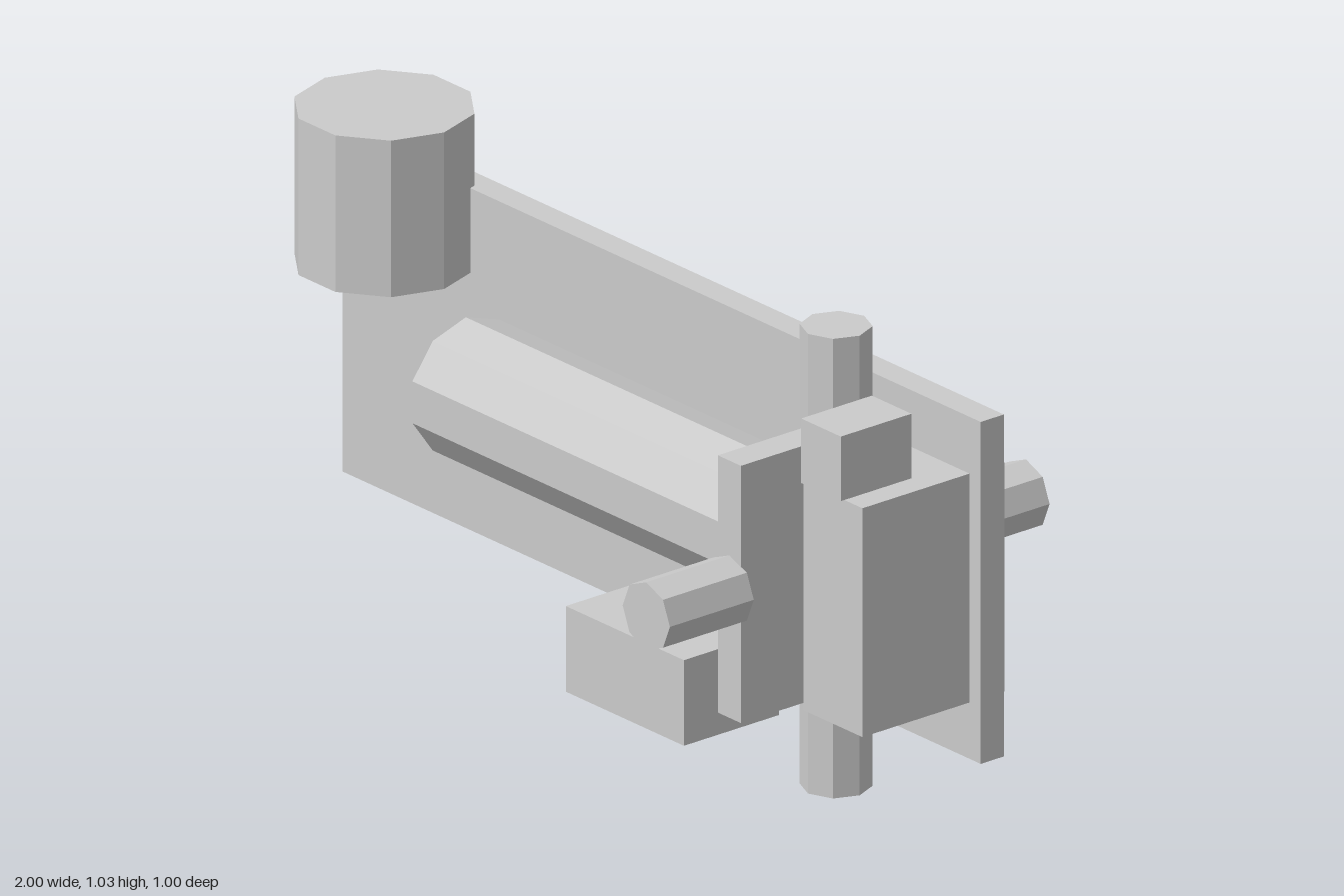
import * as THREE from 'three';

const material = new THREE.MeshStandardMaterial({ color: 0xcccccc, flatShading: true });

export function createModel() {
  const model = new THREE.Group();

  const add = (name, geometry, x, y, z) => {
    const mesh = new THREE.Mesh(geometry, material);
    mesh.name = name;
    mesh.position.set(x, y, z);
    model.add(mesh);
    return mesh;
  };

  // box given by its extents along each axis
  const box = (name, [x0, x1], [y0, y1], [z0, z1]) =>
    add(name, new THREE.BoxGeometry(x1 - x0, y1 - y0, z1 - z0),
      (x0 + x1) / 2, (y0 + y1) / 2, (z0 + z1) / 2);

  // faceted cylinder with its first corner turned by a quarter
  const cylinder = (name, r, length, sides, x, y, z) =>
    add(name, new THREE.CylinderGeometry(r, r, length, sides, 1, false, Math.PI / 2), x, y, z);

  const midY = 0.502;

  // flat back panel
  box('panel', [-1, 1], [0.128, 0.875], [-0.156, -0.095]);

  // upright drum at the right end
  cylinder('drum', 0.187, 0.342, 10, -0.755, 0.861, 0);

  // long main body lying along x
  cylinder('mainBody', 0.148, 1.14, 10, 0.07, midY, 0).rotation.z = Math.PI / 2;

  // square bulkhead carrying four short thrusters
  box('bulkhead', [0.624, 0.696], [0.221, 0.783], [-0.281, 0.281]);
  for (const s of [-1, 1]) {
    cylinder('verticalThruster', 0.074, 0.221, 8, 0.66, midY + s * 0.3915, 0);
    cylinder('sideThruster', 0.074, 0.221, 8, 0.66, midY, s * 0.3895).rotation.x = Math.PI / 2;
  }

  // end block with a small box above it
  box('endBlock', [0.78, 0.965], [0.251, 0.751], [-0.187, 0.187]);
  box('topBox', [0.81, 0.934], [0.765, 0.906], [0.032, 0.218]);

  // box slung under the panel
  box('lowerBox', [0, 0.37], [0.034, 0.221], [-0.094, 0.157]);

  return model;
}
